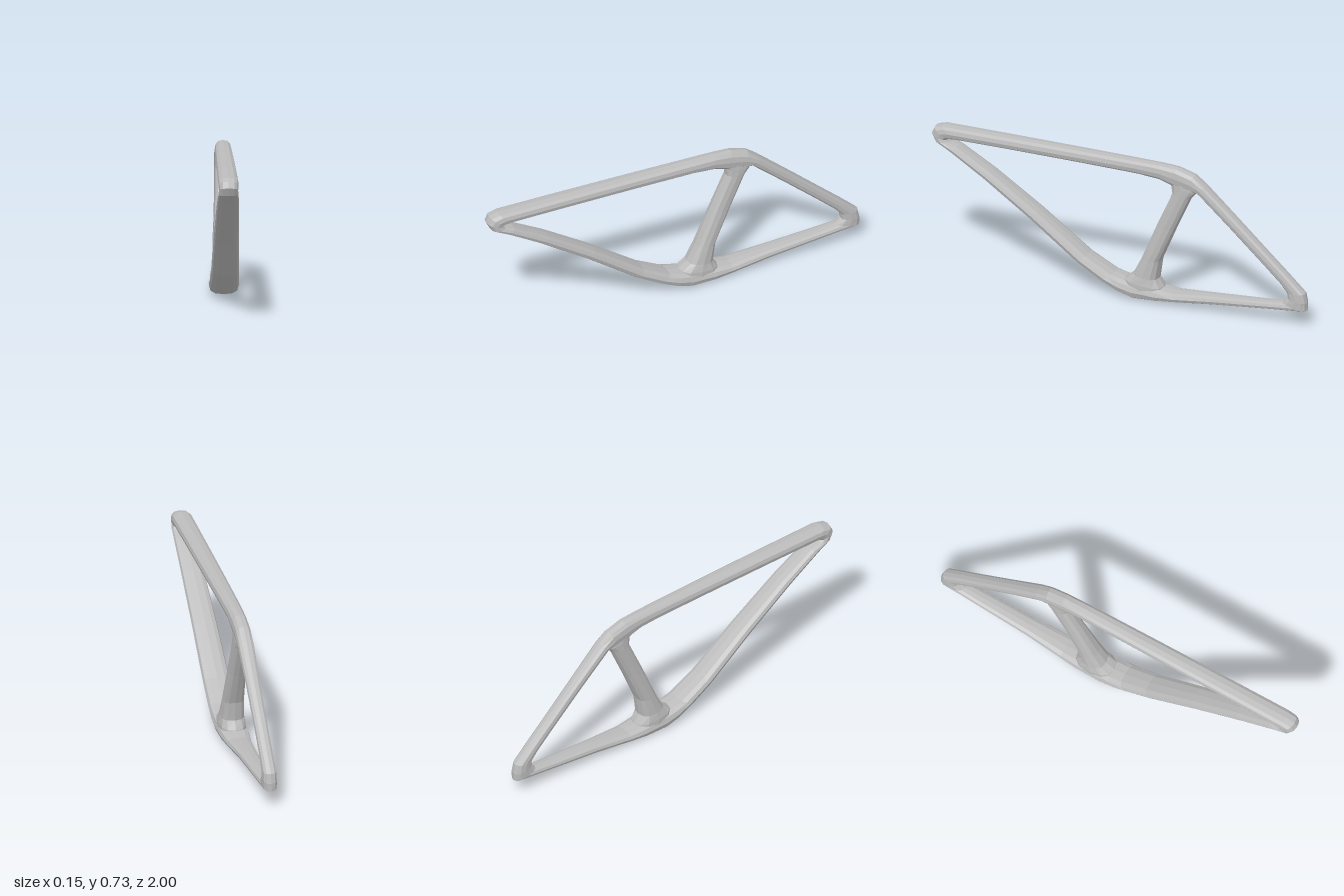
import * as THREE from 'three';

const SIDES = 12;

// Lofts rounded sections; each section is [outer z, outer y, inner z, inner y, half width]
function loft(name, sections, material) {
  const pos = [], index = [];
  const soft = (v) => Math.sign(v) * Math.pow(Math.abs(v), 0.78);
  for (const [oz, oy, iz, iy, w] of sections) {
    for (let k = 0; k < SIDES; k++) {
      const a = (k / SIDES) * Math.PI * 2;
      const c = soft(Math.cos(a)), s = soft(Math.sin(a));
      pos.push(w * s, (oy + iy) / 2 + (c * (oy - iy)) / 2, (oz + iz) / 2 + (c * (oz - iz)) / 2);
    }
  }
  for (let i = 0; i < sections.length - 1; i++) {
    for (let k = 0; k < SIDES; k++) {
      const n = (k + 1) % SIDES;
      const a = i * SIDES + k, b = i * SIDES + n;
      index.push(a, b, b + SIDES, a, b + SIDES, a + SIDES);
    }
  }
  const geo = new THREE.BufferGeometry();
  geo.setAttribute('position', new THREE.Float32BufferAttribute(pos, 3));
  geo.setIndex(index);
  geo.computeVertexNormals();
  const mesh = new THREE.Mesh(geo, material);
  mesh.name = name;
  return mesh;
}

export function createModel() {
  const grey = new THREE.MeshStandardMaterial({ color: 0xbcbcbc, flatShading: true });
  grey.name = 'frame grey';

  // Sections shared by neighbouring tubes, so the outer ring closes without gaps
  const head = [1.0, 0.69, 0.915, 0.66, 0.047];
  const seatCluster = [-0.40, 0.705, -0.365, 0.62, 0.04];
  const dropout = [-1.0, 0.13, -0.9, 0.145, 0.036];
  const bracket = [-0.08, 0.004, -0.09, 0.09, 0.073];

  const topTube = [
    head,
    [0.985, 0.722, 0.905, 0.667, 0.049],
    [0.94, 0.735, 0.87, 0.67, 0.05],
    [0.6, 0.736, 0.6, 0.671, 0.048],
    [0.2, 0.736, 0.2, 0.669, 0.045],
    [-0.1, 0.735, -0.1, 0.665, 0.042],
    [-0.22, 0.735, -0.22, 0.655, 0.04],
    [-0.31, 0.731, -0.29, 0.63, 0.04],
    seatCluster,
  ];
  const seatStay = [
    seatCluster,
    [-0.46, 0.657, -0.42, 0.615, 0.04],
    [-0.62, 0.515, -0.58, 0.473, 0.036],
    [-0.8, 0.352, -0.76, 0.31, 0.034],
    [-0.9, 0.262, -0.865, 0.213, 0.034],
    [-0.99, 0.178, -0.895, 0.175, 0.035],
    dropout,
  ];
  const chainStay = [
    dropout,
    [-1.0, 0.088, -0.87, 0.118, 0.036],
    [-0.8, 0.07, -0.78, 0.108, 0.04],
    [-0.5, 0.04, -0.5, 0.087, 0.048],
    [-0.3, 0.019, -0.3, 0.069, 0.062],
    [-0.2, 0.009, -0.22, 0.078, 0.071],
    bracket,
  ];
  const downTube = [
    bracket,
    [0.0, 0.028, -0.03, 0.1, 0.074],
    [0.09, 0.072, 0.03, 0.112, 0.071],
    [0.21, 0.14, 0.17, 0.185, 0.067],
    [0.47, 0.33, 0.43, 0.372, 0.062],
    [0.72, 0.498, 0.68, 0.535, 0.057],
    [0.9, 0.607, 0.86, 0.636, 0.052],
    [0.98, 0.65, 0.905, 0.65, 0.049],
    head,
  ];
  // Front and rear edges of the seat tube, flared into the ring at both ends
  const seatTube = [
    [-0.02, 0.05, -0.24, 0.04, 0.068],
    [-0.03, 0.1, -0.235, 0.078, 0.067],
    [-0.076, 0.135, -0.208, 0.12, 0.06],
    [-0.12, 0.22, -0.222, 0.22, 0.053],
    [-0.2, 0.41, -0.3, 0.4, 0.044],
    [-0.283, 0.595, -0.382, 0.58, 0.039],
    [-0.275, 0.64, -0.41, 0.612, 0.038],
    [-0.24, 0.675, -0.42, 0.64, 0.036],
  ];

  const group = new THREE.Group();
  group.name = 'bicycleFrame';
  const tubes = { topTube, seatStay, chainStay, downTube, seatTube };
  for (const [name, sections] of Object.entries(tubes)) group.add(loft(name, sections, grey));
  return group;
}
